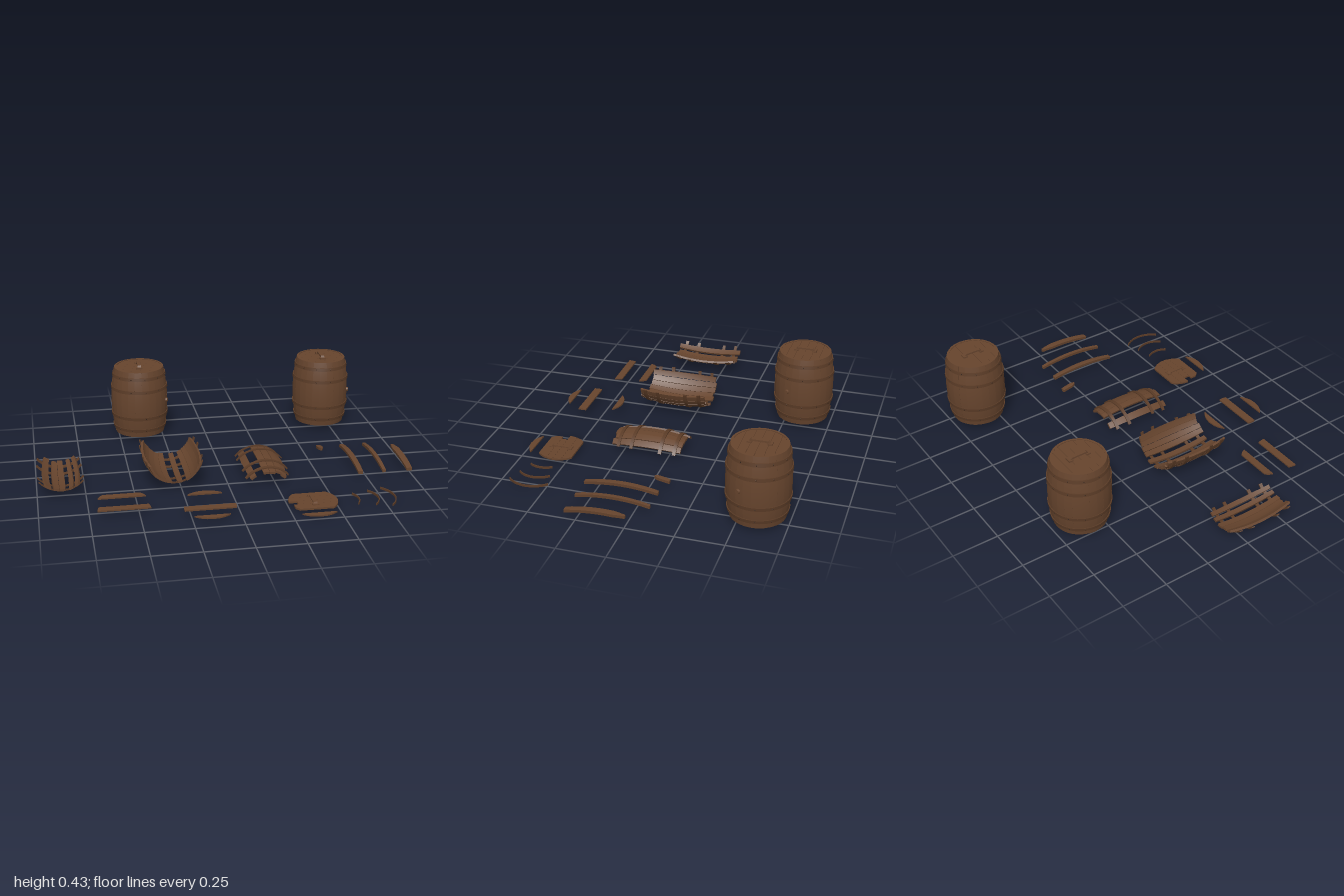
import * as THREE from 'three';
import { toCreasedNormals } from 'three/addons/utils/BufferGeometryUtils.js';

const material = (name, color) => {
  const m = new THREE.MeshStandardMaterial({ color });
  m.name = name;
  return m;
};
const wood = material('brown wood', 0x66442d);
const band = material('dark brown hoop', 0x5a3b26);
const dark = material('dark gap', 0x2e1d13);

const HALF = 0.195;                 // half the height of a barrel
const HOOPS = [-0.155, -0.08, 0.08, 0.155];
const LID = 0.133;                  // radius of a loose lid
const deg = Math.PI / 180;
const bulge = h => 0.163 - 0.021 * (h / HALF) ** 2;

let seed = 7;
const rand = () => (seed = (seed * 16807) % 2147483647) / 2147483647;

function add(parent, name, geometry, mat, x = 0, y = 0, z = 0) {
  const mesh = new THREE.Mesh(geometry, mat);
  mesh.name = name;
  mesh.position.set(x, y, z);
  parent.add(mesh);
  return mesh;
}

// Closed curved slab around the y axis: angles a0..a1, heights h0..h1.
// taper0 and taper1 narrow the lower and upper ends.
function curvedSlab(a0, a1, h0, h1, radius, thick, rows = 8, cols = 2, taper0 = 1, taper1 = 1) {
  const loops = [], pos = [];
  for (let r = 0; r <= rows; r++) {
    const t = r / rows, h = h0 + (h1 - h0) * t, loop = [];
    const width = Math.min(1, taper0 + 3 * t, taper1 + 3 * (1 - t));
    const mid = (a0 + a1) / 2, half = (a1 - a0) / 2 * width;
    for (let k = 0; k < 2 * (cols + 1); k++) {
      const inner = k > cols, i = inner ? 2 * cols + 1 - k : k;
      const a = mid + half * (2 * i / cols - 1), R = radius(h) - (inner ? thick : 0);
      loop.push([R * Math.sin(a), h, R * Math.cos(a)]);
    }
    loops.push(loop);
  }
  const quad = (a, b, c, d) => pos.push(...a, ...b, ...c, ...a, ...c, ...d);
  const n = loops[0].length;
  for (let r = 0; r < rows; r++) for (let i = 0; i < n; i++) {
    const j = (i + 1) % n;
    quad(loops[r][i], loops[r][j], loops[r + 1][j], loops[r + 1][i]);
  }
  const lo = loops[0], hi = loops[rows];
  for (let i = 0; i < cols; i++) {
    quad(lo[n - 1 - i], lo[n - 2 - i], lo[i + 1], lo[i]);
    quad(hi[i], hi[i + 1], hi[n - 2 - i], hi[n - 1 - i]);
  }
  const g = new THREE.BufferGeometry();
  g.setAttribute('position', new THREE.Float32BufferAttribute(pos, 3));
  return toCreasedNormals(g, 0.6);
}

const hoopArc = (a0, a1, h, cols) =>
  curvedSlab(a0, a1, h - 0.009, h + 0.009, y => bulge(y) + 0.004, 0.006, 1, cols);

// Board cut from a round lid between depths d0 and d1; left clips its -x end.
function lidBoard(d0, d1, thick, R = LID, left = -1) {
  const right = [], leftSide = [], steps = 10;
  for (let i = 0; i <= steps; i++) {
    const d = d0 + (d1 - d0) * i / steps, w = Math.sqrt(Math.max(0, R * R - d * d));
    right.push(new THREE.Vector2(w, -d));
    leftSide.unshift(new THREE.Vector2(Math.max(-w, left), -d));
  }
  const g = new THREE.ExtrudeGeometry(new THREE.Shape([...right, ...leftSide]),
    { depth: thick, bevelEnabled: false });
  return g.rotateX(-Math.PI / 2);
}

// Low arched grip with two end plates
function handle() {
  const group = new THREE.Group();
  group.name = 'lidHandle';
  const s = new THREE.Shape();
  s.moveTo(-0.06, 0);
  s.lineTo(-0.042, 0.018);
  s.lineTo(0.042, 0.018);
  s.lineTo(0.06, 0);
  s.lineTo(0.04, 0);
  s.lineTo(0.032, 0.009);
  s.lineTo(-0.032, 0.009);
  s.lineTo(-0.04, 0);
  const grip = new THREE.ExtrudeGeometry(s, { depth: 0.02, bevelEnabled: false });
  add(group, 'grip', grip.translate(0, 0, -0.01).rotateY(Math.PI / 2), wood);
  for (const side of [-1, 1])
    add(group, 'handleFoot', new THREE.BoxGeometry(0.034, 0.008, 0.024), wood, 0, 0.004, side * 0.05);
  return group;
}

function barrel(x, z) {
  const g = new THREE.Group();
  g.name = 'barrel';
  g.position.set(x, 0.215, z);
  const count = 24, step = 2 * Math.PI / count;
  for (let i = 0; i < count; i++) {
    const lift = 0.0015 * rand();
    add(g, 'stave', curvedSlab(i * step, (i + 1) * step, -HALF, HALF,
      h => bulge(h) - lift, 0.012, 10), wood);
  }
  for (const h of HOOPS) {
    add(g, 'hoop', hoopArc(0, 2 * Math.PI, h, 48), band);
    for (let i = 0; i < 12; i++) {
      const a = (i + 0.25) * Math.PI / 6, R = bulge(h) + 0.004;
      add(g, 'nail', new THREE.SphereGeometry(0.0028, 6, 4), dark, R * Math.sin(a), h, R * Math.cos(a));
    }
  }
  // Heads: boards over a dark backing, top and bottom
  for (const y of [-0.183, 0.181]) {
    add(g, 'headBacking', new THREE.CylinderGeometry(0.132, 0.132, 0.006, 40), dark, 0, y, 0);
    for (let i = 0; i < 6; i++) {
      const d = -LID + i * LID / 3;
      add(g, 'headBoard', lidBoard(d, d + LID / 3 - 0.0012, 0.008), wood, 0, y + (y > 0 ? 0.003 : -0.011), 0);
    }
  }
  const top = handle();
  top.position.y = 0.192;
  g.add(top);
  // Bung in the side
  const a = 66 * deg, bung = new THREE.CylinderGeometry(0.011, 0.014, 0.016, 16).rotateX(Math.PI / 2);
  add(g, 'bung', bung, wood, 0.163 * Math.sin(a), 0, 0.163 * Math.cos(a)).rotation.y = a;
  return g;
}

// Broken piece lying along z; spans are stave groups in degrees, 0 at the middle
function brokenShell(name, x, y, up, spans, hoopMin, hoopMax) {
  const g = new THREE.Group();
  g.name = name;
  g.position.set(x, y, 0.115);
  g.rotation.x = up ? -Math.PI / 2 : Math.PI / 2;
  for (const [from, to, n] of spans) for (let i = 0; i < n; i++) {
    const w = (to - from) / n, lift = 0.003 * rand();
    add(g, 'brokenStave', curvedSlab((from + i * w + 0.4) * deg, (from + (i + 1) * w - 0.4) * deg,
      -HALF + 0.012 * rand(), HALF - 0.012 * rand(), h => bulge(h) - lift, 0.012, 10), wood);
  }
  for (const h of HOOPS)
    add(g, 'brokenHoop', hoopArc((hoopMin + 5 * rand()) * deg, (hoopMax - 5 * rand()) * deg, h, 16), band);
  return g;
}

export function createModel() {
  const model = new THREE.Group();
  model.name = 'barrelsAndWreckage';
  model.add(barrel(-0.375, -0.587), barrel(0.71, -0.587));

  // Three broken shells
  model.add(brokenShell('smallShell', -0.872, 0.189, false,
    [[-38, -24, 1], [-18, 8, 2], [15, 25, 1], [29, 39, 1]], -52, 50));
  model.add(brokenShell('largeShell', -0.285, 0.189, false,
    [[-74, -8, 5], [4, 16, 1], [24, 74, 4]], -82, 80));
  model.add(brokenShell('archedShell', 0.21, -0.062, true,
    [[-44, -29, 1], [-13, 43, 4]], -52, 53));

  // Loose bowed staves: x, z range, width, taper at each end
  for (const [x, z0, z1, width, t0, t1] of [
    [0.58, -0.1, -0.02, 0.03, 0.3, 1], [0.71, -0.08, 0.31, 0.03, 1, 1],
    [0.84, -0.08, 0.31, 0.022, 1, 1], [0.98, 0, 0.31, 0.036, 1, 0.4]]) {
    const half = width / 2 / 0.163;
    const stave = add(model, 'looseStave',
      curvedSlab(-half, half, 0.115 - z1, 0.115 - z0, bulge, 0.016, 10, 2, t0, t1),
      wood, x, -0.096, 0.115);
    stave.rotation.x = -Math.PI / 2;
  }

  // Loose lid boards: x, z of the disc centre, cut depths, height
  for (const [x, z, d0, d1, y] of [
    [-0.577, 0.468, -0.092, -0.053, 0.036], [-0.577, 0.565, -0.045, -0.003, 0.036],
    [-0.155, 0.543, -0.133, -0.098, 0.036], [-0.153, 0.607, -0.022, 0.022, 0.036],
    [-0.157, 0.602, 0.098, 0.133, 0.036], [0.383, 0.612, 0.098, 0.133, 0.01]])
    add(model, 'looseLidBoard', lidBoard(d0, d1, 0.008), wood, x, y, z);

  // Broken lid with its handle and the batten beneath
  const lid = new THREE.Group();
  lid.name = 'brokenLid';
  lid.position.set(0.383, 0.01, 0.57);
  for (const [d0, d1, left] of [[-0.092, -0.046, -1], [-0.045, -0.001, -1], [0, 0.034, -0.085], [0.035, 0.092, -0.108]])
    add(lid, 'lidBoard', lidBoard(d0, d1, 0.01, 0.127, left), wood);
  const grip = handle();
  grip.position.y = 0.01;
  grip.scale.y = 0.55;
  lid.add(grip);
  add(lid, 'batten', new THREE.BoxGeometry(0.03, 0.01, 0.12), wood, 0, -0.005, 0);
  model.add(lid);

  // Loose hoop pieces: outermost x, radius, half angle
  for (const [x, R, half] of [[0.62, 0.108, 35], [0.722, 0.12, 45], [0.81, 0.151, 45]])
    add(model, 'looseHoop', curvedSlab((90 - half) * deg, (90 + half) * deg, 0, 0.012, () => R, 0.005, 1, 14),
      band, x - R, 0.016, 0.593);
  return model;
}
